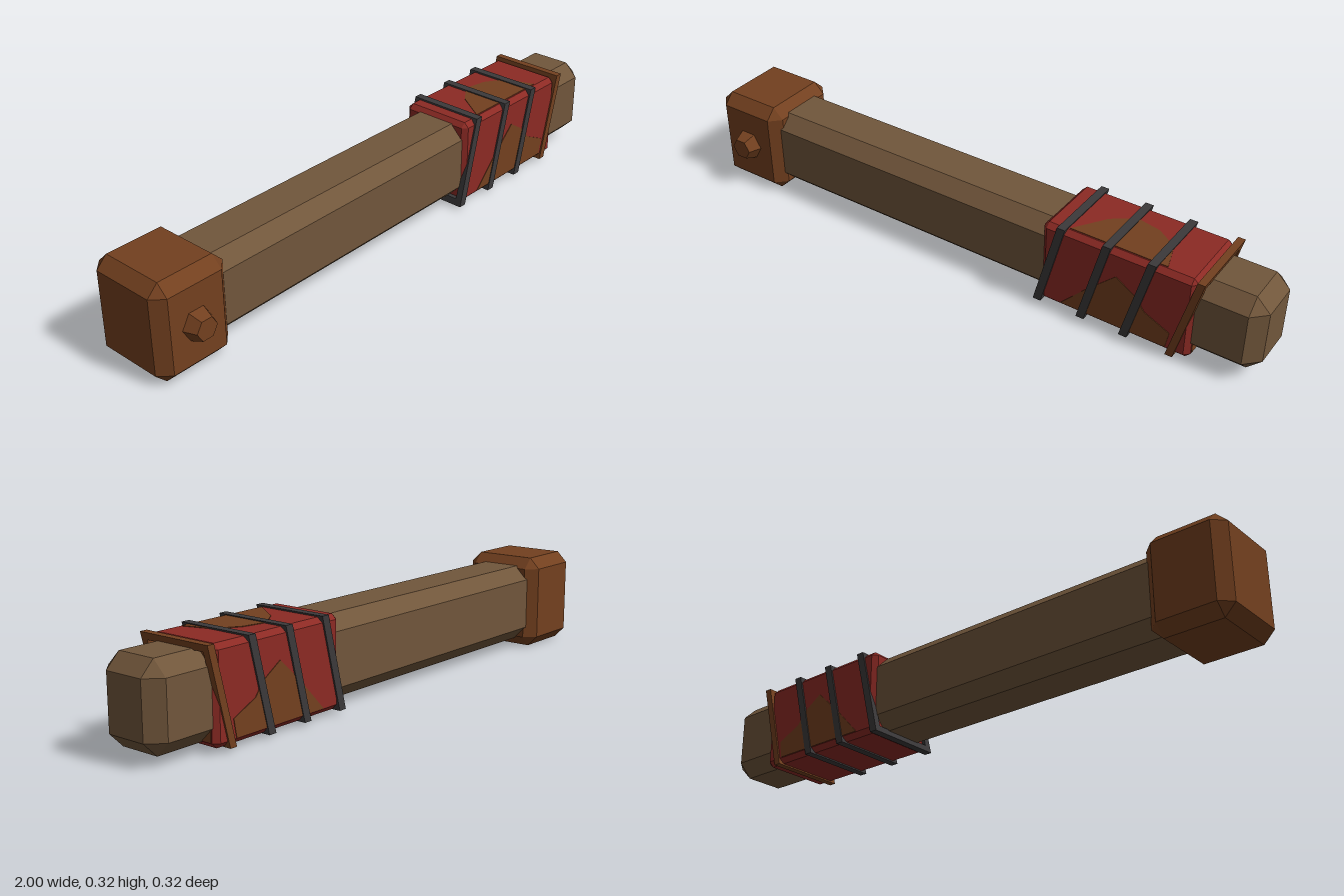
import * as THREE from 'three';
import { ConvexGeometry } from 'three/addons/geometries/ConvexGeometry.js';

const CY = 0.16, CZ = -0.021; // axis of the whole bar

const material = (name, color) => {
  const m = new THREE.MeshStandardMaterial({ color, flatShading: true });
  m.name = name;
  return m;
};

// Box from x0 to x1 with every edge cut off flat
function bevelledBox(x0, x1, height, depth, bevel) {
  const h = [(x1 - x0) / 2, height / 2, depth / 2];
  const points = [];
  for (const sx of [-1, 1]) for (const sy of [-1, 1]) for (const sz of [-1, 1]) {
    for (let full = 0; full < 3; full++) {
      const p = [sx, sy, sz].map((s, i) => s * (h[i] - (i === full ? 0 : bevel)));
      points.push(new THREE.Vector3(...p));
    }
  }
  return new ConvexGeometry(points).translate((x0 + x1) / 2, CY, CZ);
}

// Thin flat plate in the xy plane, centred on z = 0
function plate(points, depth = 0.004) {
  const shape = new THREE.Shape(points.map(([x, y]) => new THREE.Vector2(x, y)));
  return new THREE.ExtrudeGeometry(shape, { depth, bevelEnabled: false }).translate(0, 0, -depth / 2);
}

// Square ring round the bar, leaning along x
function strapGeometry(x, width) {
  const rect = (w, h) => [[-w, -h], [w, -h], [w, h], [-w, h]].map(([a, b]) => new THREE.Vector2(a, b));
  const shape = new THREE.Shape(rect(0.13, 0.149));
  shape.holes.push(new THREE.Path(rect(0.108, 0.127)));
  const g = new THREE.ExtrudeGeometry(shape, { depth: width, bevelEnabled: false });
  g.translate(0, 0, -width / 2).rotateY(Math.PI / 2);
  const p = g.attributes.position;
  for (let i = 0; i < p.count; i++) p.setX(i, p.getX(i) + p.getY(i) * 0.25);
  g.translate(x, CY, CZ);
  g.computeVertexNormals();
  return g;
}

export function createModel() {
  const group = new THREE.Group();
  const wood = material('wood', 0x71563b);
  const leather = material('brown leather', 0x73401f);
  const red = material('red cloth', 0x8c2a24);
  const dark = material('dark strap', 0x3b393a);

  const add = (name, geometry, mat) => {
    const mesh = new THREE.Mesh(geometry, mat);
    mesh.name = name;
    group.add(mesh);
    return mesh;
  };

  // Main bar and end block
  add('bar', bevelledBox(-0.8, 1, 0.262, 0.223, 0.045), wood);
  add('endBlock', bevelledBox(-1, -0.74, 0.318, 0.281, 0.036), leather);

  // Six-sided stud on the front of the block
  const stud = new THREE.CylinderGeometry(0.036, 0.053, 0.045, 6);
  stud.rotateY(Math.PI / 6).rotateX(Math.PI / 2);
  add('stud', stud.translate(-0.873, CY, 0.138), leather);

  // Cloth wrap
  add('wrap', bevelledBox(0.295, 0.8, 0.288, 0.25, 0.016), red);

  // Stained patches on front and back
  const sidePatch = [[0.37, 0.034], [0.725, 0.034], [0.735, 0.09], [0.65, 0.13], [0.62, 0.17], [0.55, 0.215], [0.46, 0.13]];
  for (const [side, name] of [[1, 'frontPatch'], [-1, 'backPatch']]) {
    add(name, plate(sidePatch).translate(0, 0, CZ + side * 0.125), leather);
  }

  // Stained patch on top
  const topPatch = [[0.38, -0.084], [0.7, -0.084], [0.67, 0.01], [0.6, 0.055], [0.52, 0.07], [0.45, 0.02]];
  add('topPatch', plate(topPatch).rotateX(-Math.PI / 2).translate(0, CY + 0.144, 0), leather);

  // Stained end of the wrap, leaving a red notch at each side
  const half = [[-0.105, -0.125], [0.105, -0.125], [0.109, -0.04], [0.09, 0.0], [0.109, 0.06], [0.105, 0.125]];
  const endPatch = [...half, ...half.slice(2).reverse().map(([a, b]) => [-a, b])];
  add('endPatch', plate(endPatch).rotateY(Math.PI / 2).translate(0.8, CY, CZ), leather);

  // Leaning straps
  for (const x of [0.325, 0.478, 0.625]) add('strap', strapGeometry(x, 0.027), dark);
  add('endStrap', strapGeometry(0.778, 0.024), leather);

  return group;
}
